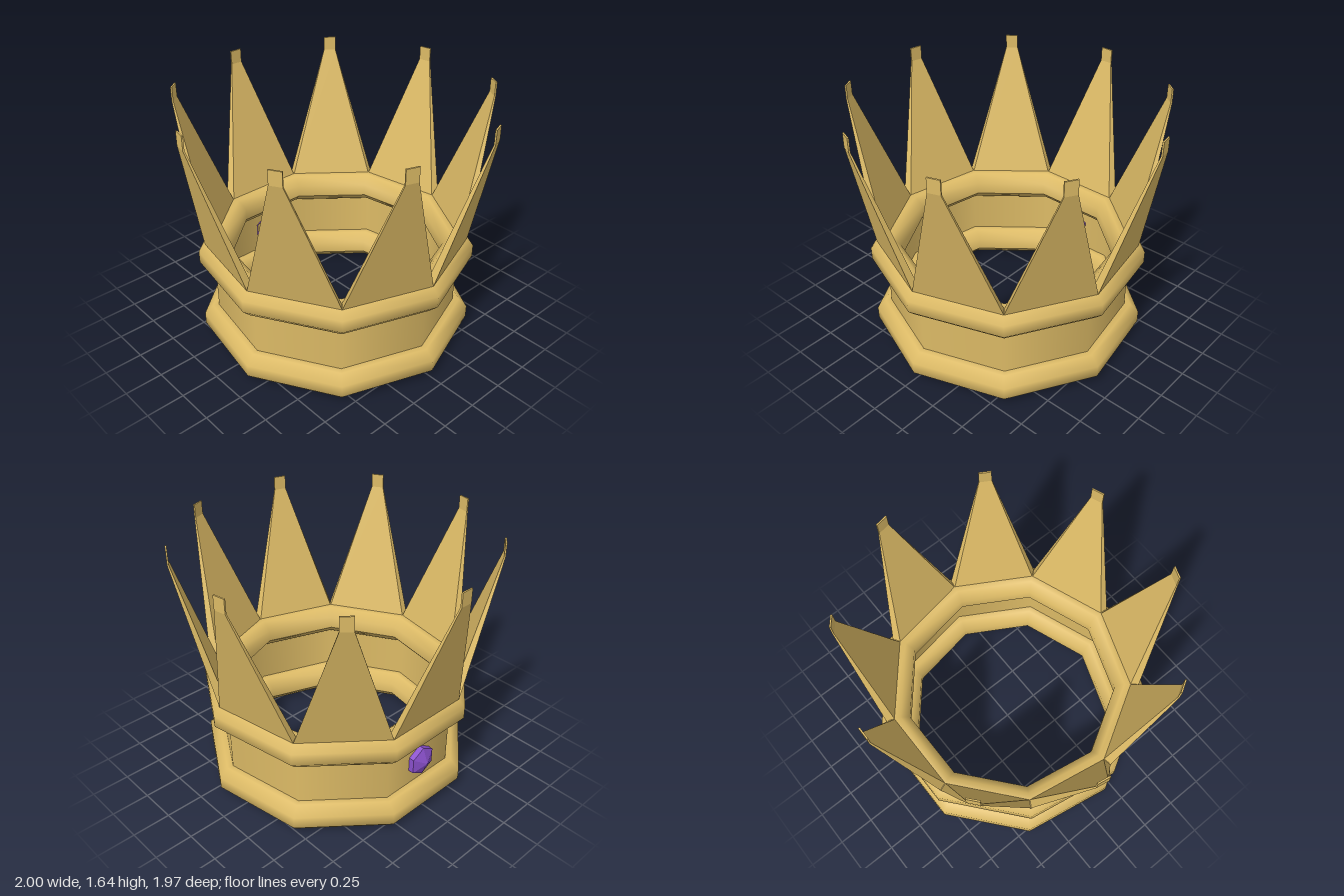
import * as THREE from 'three';

const SIDES = 9;
const STEP = (Math.PI * 2) / SIDES;

const gold = new THREE.MeshStandardMaterial({ color: 0xddbb66, side: THREE.DoubleSide });
const goldFlat = new THREE.MeshStandardMaterial({ color: 0xddbb66, flatShading: true });
const purple = new THREE.MeshStandardMaterial({ color: 0x8a50cc, flatShading: true });

function add(parent, name, geometry, material) {
  const mesh = new THREE.Mesh(geometry, material);
  mesh.name = name;
  parent.add(mesh);
  return mesh;
}

// Nine-sided rim with an eight-sided section
function rimGeometry(y) {
  const r = 0.106;
  const points = [];
  for (let i = 0; i <= 8; i++) {
    const a = Math.PI + (i + 0.5) * Math.PI / 4;
    points.push(new THREE.Vector2(0.8 + r * Math.cos(a), y + r * Math.sin(a)));
  }
  return new THREE.LatheGeometry(points, SIDES);
}

// Tapered spike leaning outward (+z), ending in an upright tab
function spikeGeometry() {
  const s = Math.sin(STEP / 2), c = Math.cos(STEP / 2);
  // y, outer half width, outer z, inner half width, inner z
  const levels = [
    [0.69, 0.855 * s, 0.855 * c, 0.8 * s, 0.8 * c],
    [1.555, 0.04, 1.008, 0.04, 0.998],
    [1.645, 0.04, 1.008, 0.04, 0.998],
  ];
  const position = [], index = [];
  for (const [y, wo, zo, wi, zi] of levels) {
    position.push(-wo, y, zo, wo, y, zo, wi, y, zi, -wi, y, zi);
  }
  for (let l = 0; l < 2; l++) {
    for (let i = 0; i < 4; i++) {
      const a = l * 4 + i, b = l * 4 + (i + 1) % 4;
      index.push(a, b, b + 4, a, b + 4, a + 4);
    }
  }
  index.push(8, 9, 10, 8, 10, 11, 0, 2, 1, 0, 3, 2);
  const indexed = new THREE.BufferGeometry();
  indexed.setAttribute('position', new THREE.Float32BufferAttribute(position, 3));
  indexed.setIndex(index);
  const geometry = indexed.toNonIndexed();
  geometry.computeVertexNormals();
  return geometry;
}

export function createModel() {
  const crown = new THREE.Group();
  crown.name = 'crown';
  const body = new THREE.Group();
  body.name = 'crownBody';
  body.position.z = 0.023;
  crown.add(body);

  // Band and its two rims
  const wall = [new THREE.Vector2(0.8, 0.1), new THREE.Vector2(0.8, 0.6)];
  add(body, 'band', new THREE.LatheGeometry(wall, SIDES), gold);
  add(body, 'lowerRim', rimGeometry(0.098), gold);
  add(body, 'upperRim', rimGeometry(0.598), gold);

  // One spike on each side of the band
  const spike = spikeGeometry();
  for (let i = 0; i < SIDES; i++) {
    add(body, 'spike', spike, goldFlat).rotation.y = (i + 0.5) * STEP;
  }

  // Six-sided pointed jewel on the back
  const profile = [[0.1, 0], [0.1, 0.045], [0, 0.085]].map(([r, y]) => new THREE.Vector2(r, y));
  const jewel = add(body, 'jewel', new THREE.LatheGeometry(profile, 6), purple);
  jewel.position.set(0, 0.352, -0.743);
  jewel.rotation.x = -Math.PI / 2;

  return crown;
}
